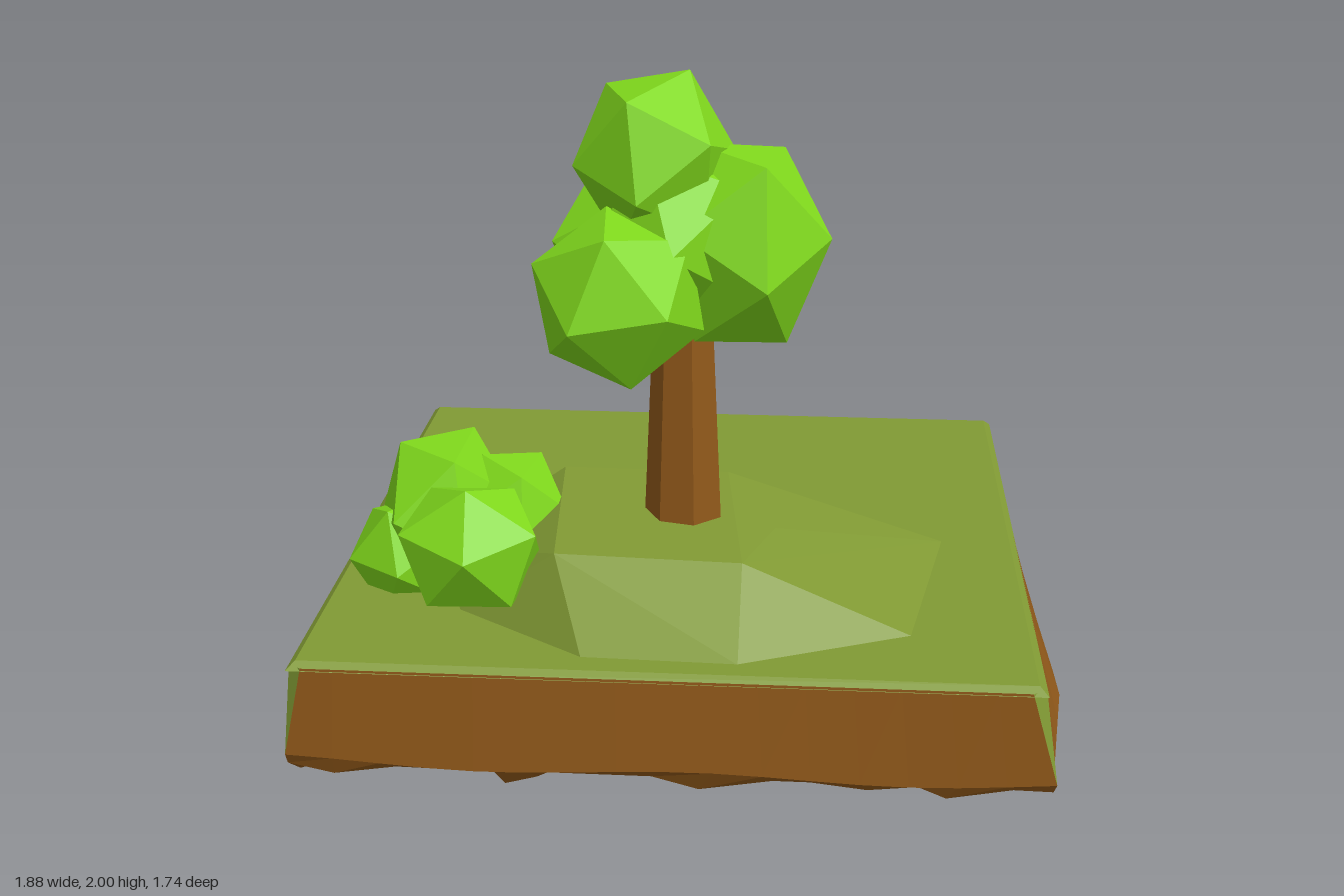
import * as THREE from 'three';
import { ConvexGeometry } from 'three/addons/geometries/ConvexGeometry.js';

const mat = (color) => new THREE.MeshStandardMaterial({ color, flatShading: true });
const earth = mat(0x91591a), grass = mat(0x819a34), leaf = mat(0x80d91c);

let seed = 11;
const rand = () => (seed = (seed * 16807) % 2147483647) / 2147483647;

function add(parent, name, geometry, material) {
  const mesh = new THREE.Mesh(geometry, material);
  mesh.name = name;
  parent.add(mesh);
}

// Straight-line interpolation through [position, value] pairs
function along(table, t) {
  if (t <= table[0][0]) return table[0][1];
  for (let i = 1; i < table.length; i++) {
    const [a, va] = table[i - 1], [b, vb] = table[i];
    if (t <= b) return va + (vb - va) * (t - a) / (b - a);
  }
  return table[table.length - 1][1];
}

function fromTriangles(points) {
  const g = new THREE.BufferGeometry().setFromPoints(points);
  g.computeVertexNormals();
  return g;
}

// Rock depth across the width and across the depth
const depthX = [[-0.9, 0.31], [-0.7, 0.22], [-0.6, 0.25], [-0.5, 0.14], [-0.25, 0.16], [0, 0.2], [0.2, 0.28], [0.5, 0.34], [0.7, 0.27], [0.9, 0.3]];
const depthZ = [[-0.85, 0.5], [-0.6, 0.39], [-0.45, 0.31], [-0.3, 0.2], [0, 0.14], [0.2, 0.14], [0.4, 0.28], [0.6, 0.4], [0.85, 0.49]];
// Zigzag lower edge of the left wall
const zigzag = [[-0.85, 0.5], [-0.6, 0.4], [-0.3, 0.34], [-0.17, 0.5], [0.01, 0.27], [0.13, 0.5], [0.31, 0.27], [0.45, 0.46], [0.56, 0.4], [0.85, 0.49]];
// Bulge of the two side walls
const bulgeR = [[-0.85, 0.87], [-0.4, 0.91], [-0.2, 0.88], [0, 0.885], [0.35, 0.945], [0.75, 0.905], [0.85, 0.88]];
const bulgeL = [[-0.85, 0.855], [-0.4, 0.87], [-0.2, 0.9], [0.42, 0.94], [0.8, 0.885]];
// Hanging rock tips: x, y, z
const spikes = [[-0.51, 0, 0.12], [-0.39, 0.04, -0.2], [-0.69, 0.19, 0.1], [-0.25, 0.12, 0.02], [0, 0.17, 0.1],
  [0.69, 0.24, 0.15], [-0.4, 0.1, 0.24], [-0.87, 0.3, 0.2]];

function buildIsland(group) {
  const N = 16, rock = [], walls = [], corners = [], grid = [];
  for (let i = 0; i <= N; i++) {
    grid.push([]);
    for (let j = 0; j <= N; j++) {
      const edgeX = i === 0 || i === N, edgeZ = j === 0 || j === N;
      const x = (2 * i / N - 1) * 0.88 + (edgeX ? 0 : (rand() - 0.5) * 0.07);
      const z = (2 * j / N - 1) * 0.845 + (edgeZ ? 0 : (rand() - 0.5) * 0.07);
      // Shallow hollow under the back left
      const hollow = edgeX ? 0 : THREE.MathUtils.smoothstep(-z, 0.2, 0.5) * THREE.MathUtils.smoothstep(x, -0.6, -0.2);
      const base = THREE.MathUtils.lerp(Math.max(along(depthX, x), along(depthZ, z)), 0.5, hollow);
      let y = Math.min(base + (rand() - 0.25) * 0.15 * (1 - 0.7 * hollow), edgeX || edgeZ ? 0.49 : 0.53);
      if (i === N) y = Math.min(along(zigzag, z), 0.49);
      grid[i].push(new THREE.Vector3(x, y, z));
    }
  }
  for (const [x, y, z] of spikes) {
    const i = Math.round((x / 0.88 + 1) * N / 2), j = Math.round((z / 0.845 + 1) * N / 2);
    grid[i][j].set(x, y, z);
  }
  const quad = (out, a, b, c, d) => out.push(a, b, c, a, c, d);

  // Jagged underside
  for (let i = 0; i < N; i++) {
    for (let j = 0; j < N; j++) {
      const a = grid[i][j], b = grid[i + 1][j], c = grid[i + 1][j + 1], d = grid[i][j + 1];
      if (rand() < 0.5) quad(rock, a, b, c, d);
      else quad(rock, b, c, d, a);
    }
  }

  // Four walls: top edge, bulging middle edge, ragged lower edge
  const middle = (i, j) => {
    const u = 2 * i / N - 1, v = 2 * j / N - 1, z = v * 0.86;
    const y = 0.51 + 0.01 * Math.sin(i * 0.7 + j * 0.9);
    return new THREE.Vector3(u * along(u < 0 ? bulgeR : bulgeL, z), y, z + v * 0.012 * (1 - u * u));
  };
  const sides = [
    (k) => [k, N], (k) => [N, N - k], (k) => [N - k, 0], (k) => [0, k],
  ];
  const tops = sides.map((at, s) => {
    const row = [];
    for (let k = 0; k <= N; k++) {
      const [i, j] = at(k);
      const p = new THREE.Vector3((2 * i / N - 1) * 0.857, 0.74, (2 * j / N - 1) * 0.85);
      const axis = s % 2 ? 'z' : 'x';
      p[axis] = THREE.MathUtils.clamp(p[axis], -0.825, 0.825);
      p.x -= 0.006;
      row.push(p);
    }
    for (let k = 0; k < N; k++) {
      const [i, j] = at(k), [m, n] = at(k + 1);
      quad(walls, middle(i, j), middle(m, n), row[k + 1], row[k]);
      quad(walls, grid[i][j], grid[m][n], middle(m, n), middle(i, j));
    }
    return row;
  });

  // Grass running down the chamfered corners
  sides.forEach((at, s) => {
    corners.push(tops[s][N], middle(...at(N)), tops[(s + 1) % 4][0]);
  });
  add(group, 'rockUnderside', fromTriangles(rock), earth);
  add(group, 'earthWalls', fromTriangles(walls), earth);
  add(group, 'grassCorners', fromTriangles(corners), grass);

  // Turf slab with a bevelled rim
  const slab = new THREE.CylinderGeometry(0.84 * Math.SQRT2, 0.86 * Math.SQRT2, 0.018, 4);
  slab.rotateY(Math.PI / 4).scale(1, 1, 0.99).translate(-0.006, 0.742, 0);
  add(group, 'turf', slab, grass);
}

// Faceted leaf clump fitted to a centre and half sizes
function clump(parent, name, [x, y, z], [hx, hy, hz], turn) {
  const g = new THREE.IcosahedronGeometry(1, 0);
  g.rotateX(turn).rotateY(turn * 1.7).rotateZ(turn * 0.6);
  g.computeBoundingBox();
  const half = g.boundingBox.getSize(new THREE.Vector3()).multiplyScalar(0.5);
  g.scale(hx / half.x, hy / half.y, hz / half.z).translate(x, y, z);
  add(parent, name, g, leaf);
}

export function createModel() {
  const model = new THREE.Group();
  const island = new THREE.Group();
  island.name = 'island';
  model.add(island);
  buildIsland(island);

  // Low mound under the tree
  const mound = [
    [-0.48, 0.75, -0.13], [0, 0.75, -0.105], [0.66, 0.75, 0.07], [0.56, 0.75, 0.61], [0.16, 0.75, 0.78],
    [-0.2, 0.75, 0.77], [-0.52, 0.75, 0.55], [-0.64, 0.75, 0.2],
    [-0.32, 0.945, 0.1], [0.1, 0.93, 0.07], [0.23, 0.9, 0.35], [0.16, 0.915, 0.59], [-0.28, 0.93, 0.6],
  ].map((p) => new THREE.Vector3(...p));
  add(model, 'mound', new ConvexGeometry(mound), grass);

  // Tree
  const tree = new THREE.Group();
  tree.name = 'tree';
  model.add(tree);
  const trunk = new THREE.CylinderGeometry(0.07, 0.1, 0.65, 7, 2);
  trunk.rotateY(0.3).translate(0.005, 1.205, 0.31);
  add(tree, 'trunk', trunk, earth);
  clump(tree, 'crownTop', [-0.065, 1.8, 0.28], [0.185, 0.2, 0.2], 0.5);
  clump(tree, 'crownLeft', [0.135, 1.6, 0.29], [0.215, 0.235, 0.195], 2.4);
  clump(tree, 'crownFront', [-0.135, 1.515, 0.46], [0.195, 0.19, 0.19], 2.0);
  clump(tree, 'crownBack', [-0.13, 1.525, 0.065], [0.2, 0.195, 0.19], 2.9);
  clump(tree, 'crownMiddle', [-0.01, 1.62, 0.28], [0.2, 0.21, 0.24], 3.7);

  // Bush
  const bush = new THREE.Group();
  bush.name = 'bush';
  model.add(bush);
  clump(bush, 'bushMiddle', [-0.595, 0.9, 0.29], [0.175, 0.18, 0.19], 0.9);
  clump(bush, 'bushFront', [-0.485, 0.92, 0.555], [0.165, 0.165, 0.155], 1.6);
  clump(bush, 'bushInner', [-0.43, 0.9, 0.28], [0.14, 0.14, 0.15], 2.4);
  clump(bush, 'bushOuter', [-0.675, 0.81, 0.37], [0.14, 0.14, 0.14], 3.1);
  return model;
}
